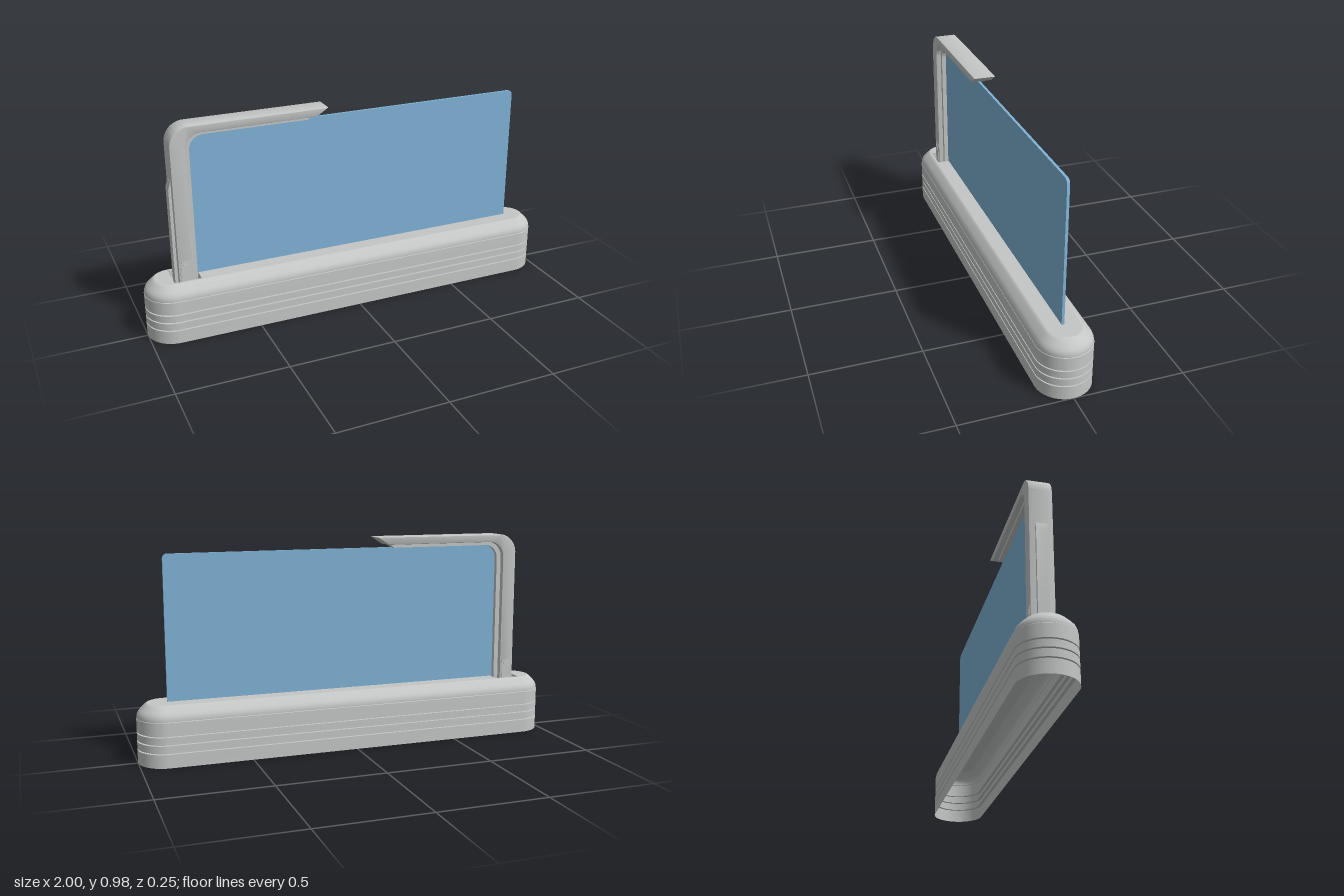
import * as THREE from 'three';
import { toCreasedNormals } from 'three/addons/utils/BufferGeometryUtils.js';

const shellMat = new THREE.MeshStandardMaterial({ color: 0xc4c7c6, side: THREE.DoubleSide });
shellMat.name = 'light grey';
const glassMat = new THREE.MeshStandardMaterial({ color: 0x7fb2d6 });
glassMat.name = 'blue glass';

function add(group, name, geometry, material = shellMat) {
  const mesh = new THREE.Mesh(geometry, material);
  mesh.name = name;
  group.add(mesh);
  return mesh;
}

// Outline with round ends, pulled in by an inset
function capsuleOutline(inset, segments = 24) {
  const points = [];
  const r = 0.125 - inset;
  for (const side of [1, -1]) {
    for (let i = 0; i <= segments; i++) {
      const a = -Math.PI / 2 + (Math.PI * i) / segments;
      points.push(new THREE.Vector2(side * (0.875 + r * Math.cos(a)), side * r * Math.sin(a)));
    }
  }
  return points;
}

// Walls stacked from [inset, y] rings, open below
function loftWalls(profile) {
  const positions = [];
  const rings = profile.map(([inset, y]) => capsuleOutline(inset).map((p) => [p.x, y, -p.y]));
  for (let k = 0; k < rings.length - 1; k++) {
    const lower = rings[k], upper = rings[k + 1];
    for (let i = 0; i < lower.length; i++) {
      const j = (i + 1) % lower.length;
      positions.push(...lower[i], ...lower[j], ...upper[j], ...lower[i], ...upper[j], ...upper[i]);
    }
  }
  const g = new THREE.BufferGeometry();
  g.setAttribute('position', new THREE.Float32BufferAttribute(positions, 3));
  return toCreasedNormals(g, 0.45);
}

// Flat side profile extruded symmetrically across z
function slab(shape, width, bevel = 0) {
  const g = new THREE.ExtrudeGeometry(shape, {
    depth: width - 2 * bevel, curveSegments: 12, bevelEnabled: bevel > 0,
    bevelSize: bevel, bevelOffset: -bevel, bevelThickness: bevel, bevelSegments: 2,
  });
  g.translate(0, 0, -width / 2 + bevel);
  return toCreasedNormals(g, 0.5);
}

// Upside-down L: post on the left, arm to the right with a slanted tip
function hookShape(x0, y1, r0, x1, y0, r1, tipTop, tipBottom, foot = 0.22) {
  const s = new THREE.Shape();
  s.moveTo(x0, foot);
  s.lineTo(x1, foot);
  s.lineTo(x1, y0 - r1);
  s.absarc(x1 + r1, y0 - r1, r1, Math.PI, Math.PI / 2, true);
  s.lineTo(tipBottom, y0);
  s.lineTo(tipTop, y1);
  s.lineTo(x0 + r0, y1);
  s.absarc(x0 + r0, y1 - r0, r0, Math.PI / 2, Math.PI, false);
  s.closePath();
  return s;
}

function polygon(points) {
  return new THREE.Shape(points.map(([x, y]) => new THREE.Vector2(x, y)));
}

function createBase() {
  const base = new THREE.Group();
  base.name = 'base';

  // Walls with three thin grooves and a rounded shoulder
  const profile = [[0, 0]];
  for (const y of [0.065, 0.104, 0.142]) {
    profile.push([0, y - 0.003], [0.014, y - 0.003], [0.014, y + 0.003], [0, y + 0.003]);
  }
  profile.push([0, 0.205], [0.002, 0.207], [0.002, 0.21], [0.003, 0.222], [0.008, 0.234],
    [0.016, 0.244], [0.04, 0.267], [0.044, 0.27], [0.05, 0.272]);
  add(base, 'baseWalls', loftWalls(profile));

  // Top with an opening around the post
  const top = new THREE.Shape(capsuleOutline(0.05));
  const [x0, x1, z] = [-0.875, -0.75, 0.066];
  top.holes.push(new THREE.Path([[x0, -z], [x0, z], [x1, z], [x1, -z]]
    .map(([x, y]) => new THREE.Vector2(x, y))));
  const topGeometry = new THREE.ShapeGeometry(top);
  topGeometry.rotateX(-Math.PI / 2).translate(0, 0.272, 0);
  add(base, 'baseTop', topGeometry);

  // Shallow pocket under the opening
  const floor = add(base, 'pocketFloor', new THREE.BoxGeometry(x1 - x0, 0.004, 2 * z));
  floor.position.set((x0 + x1) / 2, 0.238, 0);
  for (const side of [-1, 1]) {
    const wall = add(base, 'pocketSide', new THREE.BoxGeometry(x1 - x0, 0.035, 0.002));
    wall.position.set((x0 + x1) / 2, 0.254, side * z);
    const end = add(base, 'pocketEnd', new THREE.BoxGeometry(0.002, 0.035, 2 * z));
    end.position.set(side < 0 ? x0 : x1, 0.254, 0);
  }
  return base;
}

function createArm() {
  const arm = new THREE.Group();
  arm.name = 'arm';
  add(arm, 'armBody', slab(hookShape(-0.848, 0.982, 0.09, -0.78, 0.946, 0.075, -0.125, -0.18, 0.24), 0.102, 0.004));

  // Narrow lip that grips the glass
  add(arm, 'glassHolder', slab(hookShape(-0.79, 0.955, 0.08, -0.758, 0.93, 0.065, -0.185, -0.215, 0.24), 0.054));

  // Raised spine behind the post
  add(arm, 'rearSpine', slab(polygon([[-0.862, 0.24], [-0.84, 0.24], [-0.84, 0.74],
    [-0.849, 0.735], [-0.86, 0.7]]), 0.05));

  // Latch plates on both faces of the post
  for (const side of [-1, 1]) {
    const plate = add(arm, 'latchPlate', new THREE.BoxGeometry(0.046, 0.12, 0.004));
    plate.position.set(-0.812, 0.3, side * 0.051);
    const button = add(arm, 'latchButton', new THREE.BoxGeometry(0.026, 0.025, 0.004));
    button.position.set(-0.812, 0.335, side * 0.0535);
  }
  return arm;
}

function createGlass() {
  const [left, right, bottom, top, r, R] = [-0.765, 0.862, 0.25, 0.932, 0.022, 0.075];
  const s = new THREE.Shape();
  s.moveTo(left, bottom);
  s.lineTo(right, bottom);
  s.lineTo(right, top - r);
  s.absarc(right - r, top - r, r, 0, Math.PI / 2, false);
  s.lineTo(left + R, top);
  s.absarc(left + R, top - R, R, Math.PI / 2, Math.PI, false);
  s.closePath();
  return slab(s, 0.012);
}

export function createModel() {
  const model = new THREE.Group();
  model.name = 'glassPanelStand';
  model.add(createBase(), createArm());
  add(model, 'glassPanel', createGlass(), glassMat);
  return model;
}
